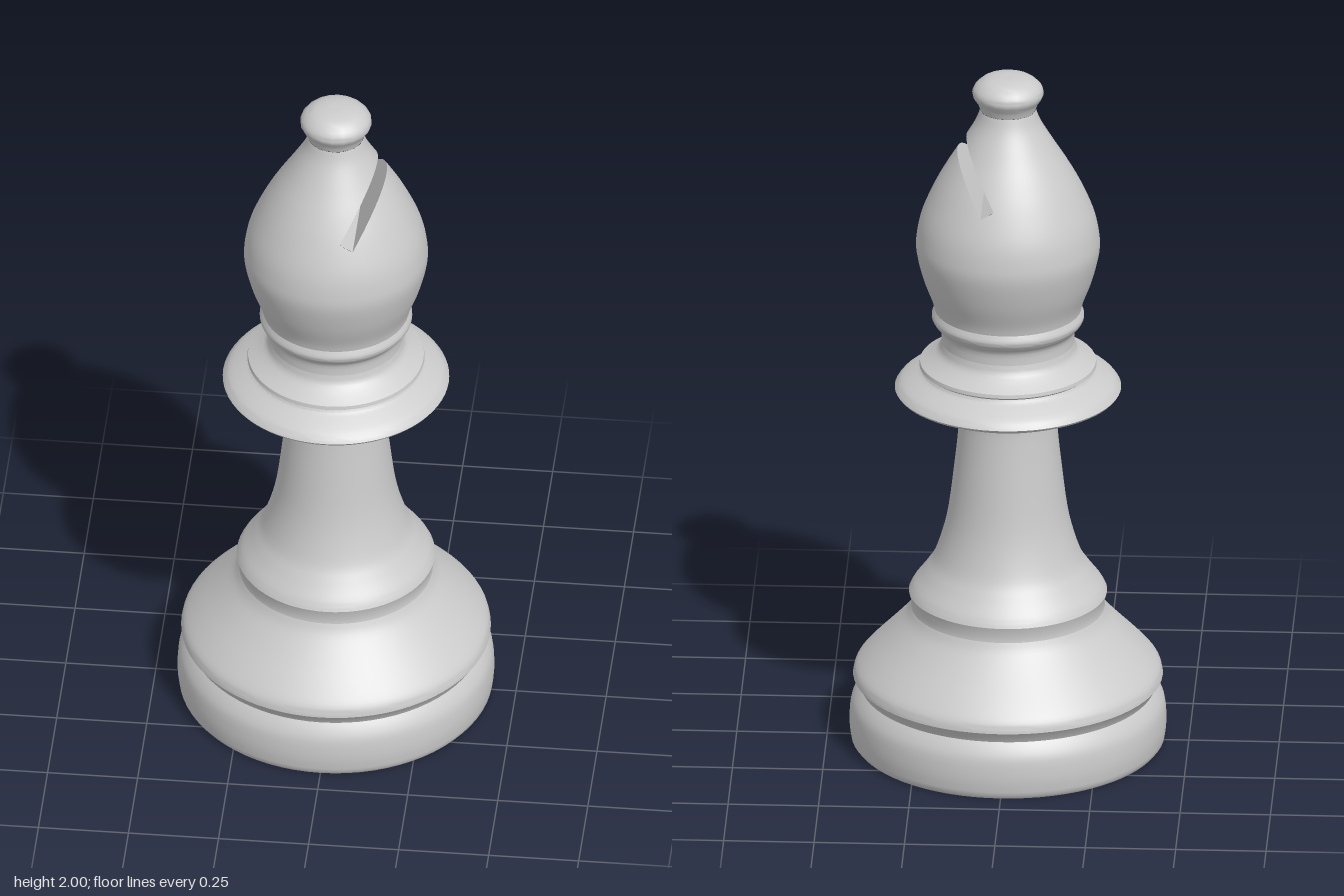
import * as THREE from 'three';
import { toCreasedNormals } from 'three/addons/utils/BufferGeometryUtils.js';

const material = new THREE.MeshStandardMaterial({ color: 0xcccccc });
const slotMaterial = new THREE.MeshStandardMaterial({ color: 0xcccccc, side: THREE.DoubleSide });

const vec = (pts) => pts.map(([r, y]) => new THREE.Vector2(r, y));
const curve = (pts, n) => new THREE.SplineCurve(vec(pts)).getPoints(n);

// Slot frame: u runs into the head along the cut, w runs across it
const ANGLE = Math.PI / 3;
const CO = Math.cos(ANGLE), SI = Math.sin(ANGLE);
const U0 = 1.463, W0 = -0.81, W1 = -0.768;
const uOf = (v) => v[0] * CO + v[1] * SI;
const wOf = (v) => v[0] * SI - v[1] * CO;

// Keep the part of a convex polygon where f >= 0; vertices carry position and normal
function clip(poly, f) {
  const out = [];
  poly.forEach((a, i) => {
    const b = poly[(i + 1) % poly.length];
    const fa = f(a), fb = f(b);
    if (fa >= 0) out.push(a);
    if ((fa >= 0) !== (fb >= 0)) out.push(a.map((v, k) => v + (b[k] - v) * fa / (fa - fb)));
  });
  return out;
}

// Lathed head with the slot removed from its skin
function cutHead(profile) {
  const geo = new THREE.LatheGeometry(profile, 72).toNonIndexed();
  const p = geo.attributes.position, n = geo.attributes.normal;
  const pos = [], nor = [];
  const add = (poly) => {
    for (let i = 1; i < poly.length - 1; i++)
      for (const v of [poly[0], poly[i], poly[i + 1]]) {
        pos.push(v[0], v[1], v[2]);
        nor.push(v[3], v[4], v[5]);
      }
  };
  for (let i = 0; i < p.count; i += 3) {
    const tri = [i, i + 1, i + 2].map((k) =>
      [p.getX(k), p.getY(k), p.getZ(k), n.getX(k), n.getY(k), n.getZ(k)]);
    add(clip(tri, (v) => W0 - wOf(v)));
    add(clip(tri, (v) => wOf(v) - W1));
    const band = clip(clip(tri, (v) => wOf(v) - W0), (v) => W1 - wOf(v));
    add(clip(band, (v) => U0 - uOf(v)));
  }
  const out = new THREE.BufferGeometry();
  out.setAttribute('position', new THREE.Float32BufferAttribute(pos, 3));
  out.setAttribute('normal', new THREE.Float32BufferAttribute(nor, 3));
  return out;
}

// Two side walls and the floor of the slot, bounded by the head's surface
function slotLining(profile) {
  const radius = (y) => {
    const i = Math.max(1, profile.findIndex((q) => q.y >= y));
    const a = profile[i - 1], b = profile[i];
    return a.x + (b.x - a.x) * (y - a.y) / (b.y - a.y);
  };
  const at = (u, w) => [u * CO + w * SI, u * SI - w * CO];
  const room = (u, w) => { const [x, y] = at(u, w); return radius(y) ** 2 - x * x; };
  const edge = (u, w) => {
    const [x, y] = at(u, w), z = Math.sqrt(Math.max(0, room(u, w)));
    return [[x, y, z], [x, y, -z]];
  };
  const pos = [];
  const quad = ([a, b], [c, d]) => pos.push(...a, ...b, ...d, ...a, ...d, ...c);
  for (const w of [W0, W1]) {
    let lo = U0, hi = U0 + 0.25;
    for (let k = 0; k < 30; k++) {
      const mid = (lo + hi) / 2;
      if (room(mid, w) > 0) lo = mid; else hi = mid;
    }
    const uAt = (t) => U0 + (lo - U0) * Math.sin(t * Math.PI / 2);
    for (let k = 0; k < 20; k++) quad(edge(uAt(k / 20), w), edge(uAt((k + 1) / 20), w));
  }
  quad(edge(U0, W0), edge(U0, W1));
  const geo = new THREE.BufferGeometry();
  geo.setAttribute('position', new THREE.Float32BufferAttribute(pos, 3));
  geo.computeVertexNormals();
  return geo;
}

export function createModel() {
  const group = new THREE.Group();
  const add = (name, geo, mat = material) => {
    const mesh = new THREE.Mesh(geo, mat);
    mesh.name = name;
    group.add(mesh);
  };
  const turn = (name, profile, segments = 72) =>
    add(name, toCreasedNormals(new THREE.LatheGeometry(profile, segments), 0.6));

  // Foot with rounded side, closed underneath
  turn('foot', [
    ...vec([[0, 0.005], [0.425, 0.005]]),
    ...curve([[0.433, 0.015], [0.438, 0.06], [0.434, 0.115], [0.422, 0.145], [0.407, 0.167]], 12),
  ]);
  // Bell-shaped base above the groove
  turn('base', [
    ...vec([[0.407, 0.167], [0.413, 0.18]]),
    ...curve([[0.428, 0.2], [0.42, 0.227], [0.385, 0.268], [0.33, 0.325], [0.285, 0.375], [0.268, 0.405]], 20),
  ]);
  // Stem rising from its ring
  turn('stem', [
    ...vec([[0.268, 0.405], [0.266, 0.42]]),
    ...curve([[0.274, 0.45], [0.262, 0.472], [0.23, 0.515], [0.2, 0.567], [0.168, 0.68],
      [0.147, 0.84], [0.136, 0.95], [0.135, 0.985]], 32),
  ]);
  // Wide collar with a raised step
  turn('collar', [
    ...curve([[0.135, 0.985], [0.18, 1.005], [0.25, 1.03], [0.308, 1.057]], 10),
    ...curve([[0.313, 1.064], [0.295, 1.085], [0.24, 1.117]], 8),
    ...vec([[0.236, 1.125], [0.245, 1.132]]),
    ...curve([[0.243, 1.142], [0.215, 1.16], [0.192, 1.18], [0.184, 1.205]], 10),
  ]);
  // Neck and its ring
  turn('neck', curve([[0.184, 1.205], [0.185, 1.24], [0.203, 1.262], [0.211, 1.28], [0.203, 1.302]], 14));

  // Slotted head
  const head = curve([[0.203, 1.302], [0.21, 1.33], [0.234, 1.395], [0.253, 1.475], [0.251, 1.53],
    [0.237, 1.59], [0.205, 1.665], [0.17, 1.73], [0.13, 1.795], [0.092, 1.86], [0.077, 1.9]], 44);
  add('head', cutHead(head));
  add('headSlot', slotLining(head), slotMaterial);

  // Knob on top
  turn('knob', curve([[0.077, 1.9], [0.085, 1.922], [0.098, 1.943], [0.095, 1.965], [0.07, 1.988],
    [0.035, 1.998], [0, 2]], 18), 20);
  return group;
}
